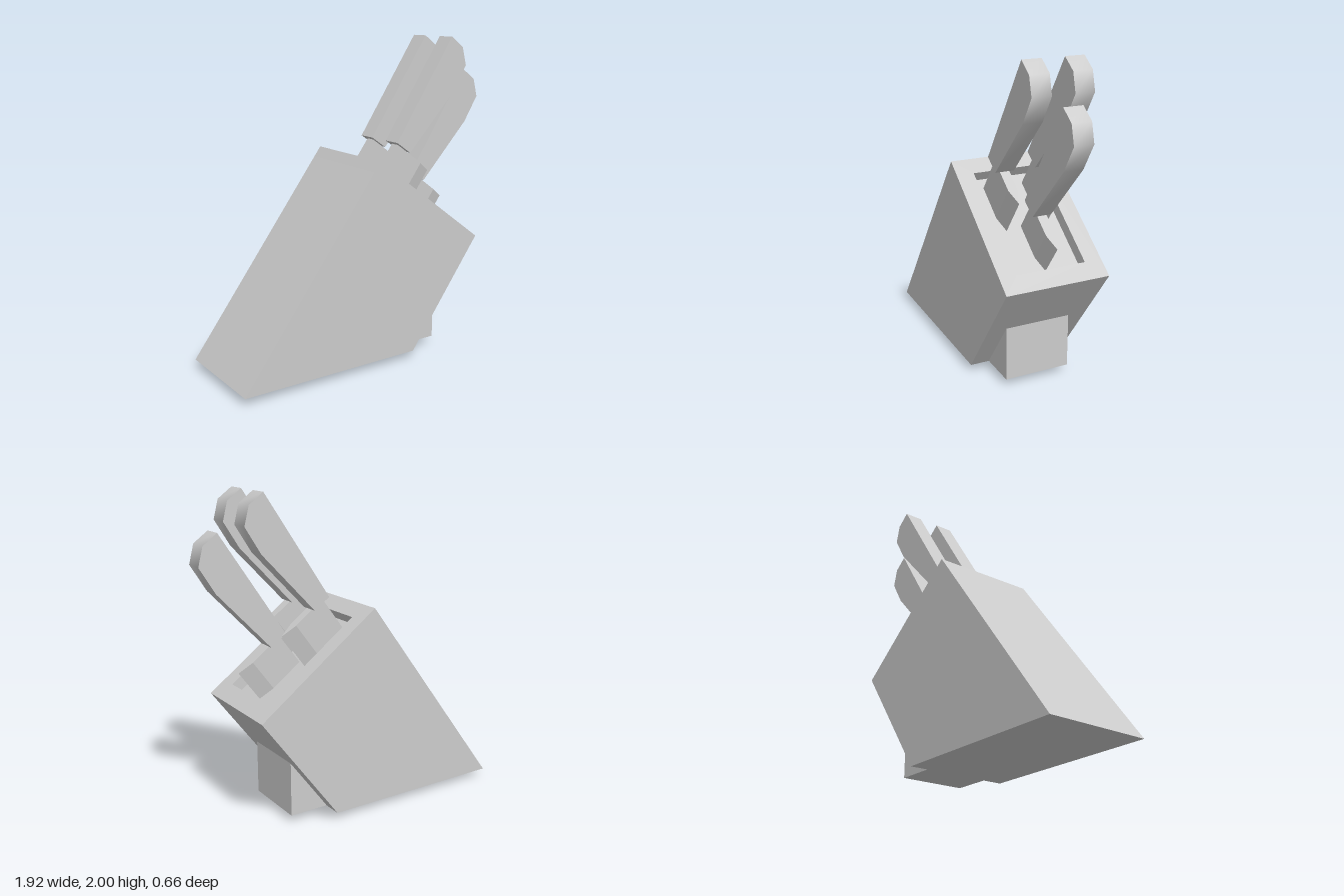
import * as THREE from 'three';
import { toCreasedNormals } from 'three/addons/utils/BufferGeometryUtils.js';

const flat = new THREE.MeshStandardMaterial({ color: 0xcccccc, flatShading: true });
const smooth = new THREE.MeshStandardMaterial({ color: 0xcccccc });
const TILT = Math.atan2(0.595, 0.804);
const RECESS = 0.076;

const outline = (pts) => new THREE.Shape(pts.map(([x, y]) => new THREE.Vector2(x, y)));

function named(name, geometry, material = flat) {
  const mesh = new THREE.Mesh(geometry, material);
  mesh.name = name;
  return mesh;
}

// Side profile extruded symmetrically about z = 0
function slab(pts, width) {
  const g = new THREE.ExtrudeGeometry(outline(pts), { depth: width, bevelEnabled: false });
  return g.translate(0, 0, -width / 2);
}

// Rectangular frame around the recess, extruded up along the block's axis
function rimGeometry() {
  const shape = outline([[0, -0.33], [0.958, -0.33], [0.958, 0.33], [0, 0.33]]);
  shape.holes.push(outline([[0.109, -0.22], [0.109, 0.22], [0.84, 0.22], [0.84, -0.22]]));
  return new THREE.ExtrudeGeometry(shape, { depth: RECESS, bevelEnabled: false })
    .rotateX(-Math.PI / 2)
    .translate(0, -RECESS, 0);
}

// Blade: five-sided section with a ground edge, shrinking to a point at the spine
function bladeGeometry() {
  const spine = 0.175;
  const section = [[0, -0.03], [0, 0.03], [0.226, 0.03], [0.326, 0], [0.226, -0.03]];
  const levels = [[0.196, 1], [-0.85, 1], [-1.209, 0]];
  const rings = levels.map(([y, k]) => section.map(([u, z]) => [spine + u * k, y, z * k]));
  const pos = [];
  const tri = (...corners) => corners.forEach((c) => pos.push(...c));
  for (let i = 1; i < 4; i++) tri(rings[0][0], rings[0][i], rings[0][i + 1]);
  for (let r = 0; r < 2; r++) {
    for (let i = 0; i < 5; i++) {
      const j = (i + 1) % 5;
      tri(rings[r][i], rings[r + 1][i], rings[r + 1][j]);
      if (r === 0) tri(rings[r][i], rings[r + 1][j], rings[r][j]);
    }
  }
  const g = new THREE.BufferGeometry();
  g.setAttribute('position', new THREE.Float32BufferAttribute(pos, 3));
  g.computeVertexNormals();
  return g;
}

function handleGeometry() {
  const g = slab([
    [0.143, 0.193], [0.265, 0.196], [0.325, 0.688],
    [0.31, 0.876], [0.217, 0.951], [0.106, 0.95],
  ], 0.12);
  return toCreasedNormals(g, 0.9);
}

export function createModel() {
  const model = new THREE.Group();
  model.name = 'knifeBlock';

  // Tilted frame: x runs down the slanted top, y points out along the knives
  const tilted = new THREE.Group();
  tilted.name = 'tiltedBlock';
  tilted.position.set(-0.03, 1.3, 0);
  tilted.rotation.z = -TILT;
  model.add(tilted);

  // Block body with its recessed top
  tilted.add(named('blockBody', slab([
    [-0.004, -1.558], [0.957, -0.847], [0.958, -RECESS], [0, -RECESS],
  ], 0.66)));
  tilted.add(named('blockRim', rimGeometry()));

  // Knives: two in the upper row, one centred below
  const blade = bladeGeometry();
  const handle = handleGeometry();
  [[0, 0, 0.13], [0, 0, -0.13], [0.308, -0.046, 0]].forEach(([x, y, z], i) => {
    const knife = new THREE.Group();
    knife.name = `knife${i + 1}`;
    knife.position.set(x, y, z);
    knife.add(named('blade', blade), named('handle', handle, smooth));
    tilted.add(knife);
  });

  // Wedge foot under the overhang
  model.add(named('supportFoot', slab([[0.235, 0.052], [0.49, 0.052], [0.49, 0.393]], 0.42)));
  return model;
}
